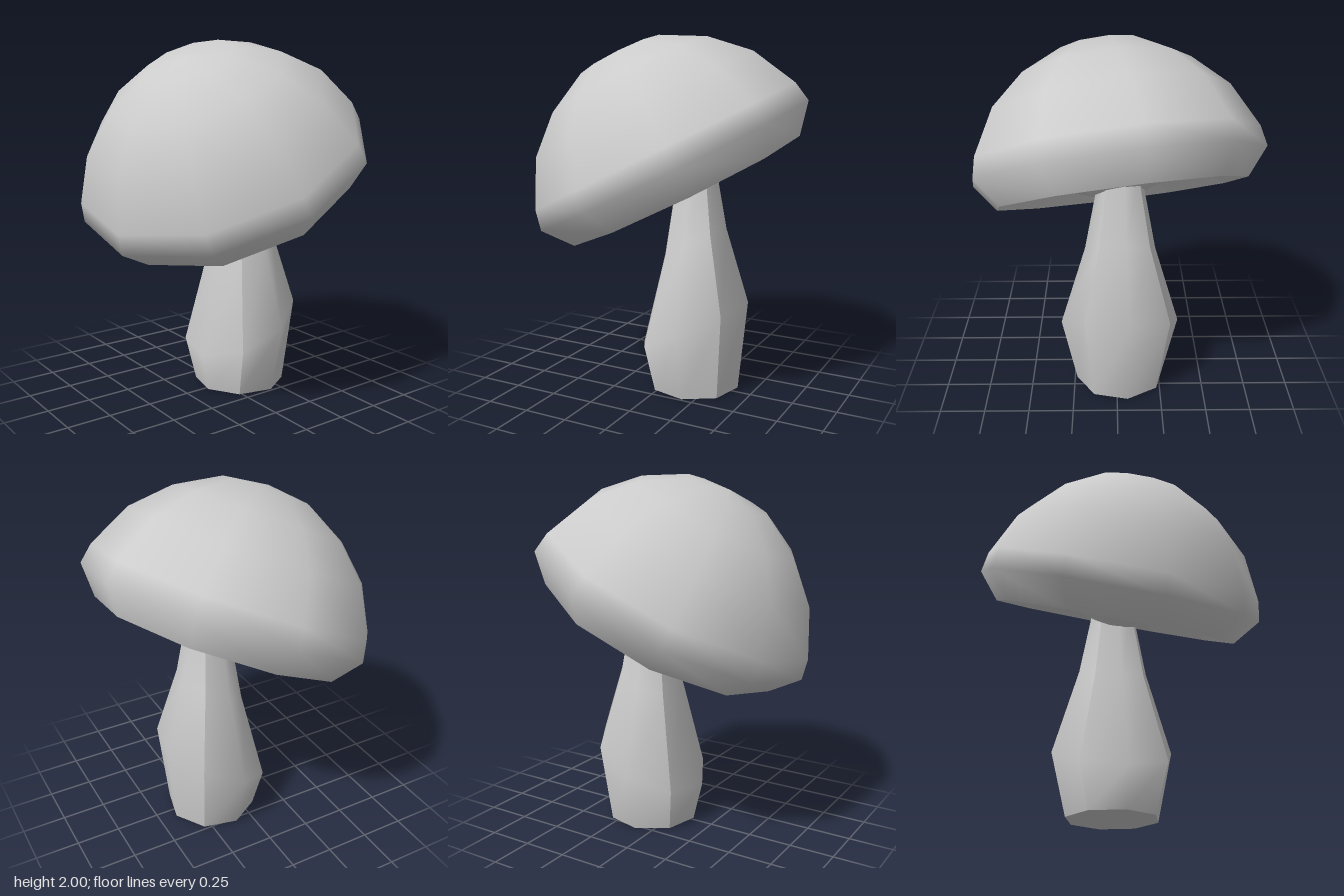
import * as THREE from 'three';

const rad = THREE.MathUtils.degToRad;
const v2 = (pairs) => pairs.map(([r, y]) => new THREE.Vector2(r, y));

function mesh(name, geometry, flat = false) {
  const material = new THREE.MeshStandardMaterial({ color: 0xcccccc, flatShading: flat });
  const m = new THREE.Mesh(geometry, material);
  m.name = name;
  return m;
}

// Stem cross-sections from the ground up: height, radius, tilt towards the front
const STEM_RINGS = [
  { y: 0, r: 0.26, tilt: 0 },
  { y: 0.37, r: 0.345, tilt: 26 },
  { y: 0.85, r: 0.2, tilt: 26 },
  { y: 1.3, r: 0.115, tilt: 26 },
];
const STEM_TURN = 9; // degrees, first corner of the octagon

// One smooth strip covering two sides of the octagonal stem
function stemPanel(startAngle) {
  const positions = [];
  const index = [];
  STEM_RINGS.forEach(({ y, r, tilt }, row) => {
    for (let col = 0; col < 3; col++) {
      const a = rad(startAngle + col * 45);
      const p = new THREE.Vector3(r * Math.sin(a), 0, r * Math.cos(a));
      p.applyAxisAngle(new THREE.Vector3(1, 0, 0), rad(tilt));
      positions.push(p.x, p.y + y, p.z);
      if (row > 0 && col > 0) {
        const c = row * 3 + col;
        const d = c - 1;
        const b = c - 3;
        const e = c - 4;
        index.push(e, b, c, e, c, d);
      }
    }
  });
  const g = new THREE.BufferGeometry();
  g.setAttribute('position', new THREE.Float32BufferAttribute(positions, 3));
  g.setIndex(index);
  g.computeVertexNormals();
  return g;
}

export function createModel() {
  const model = new THREE.Group();
  model.name = 'mushroom';

  // Stem: four creased strips and a flat foot
  const stem = new THREE.Group();
  stem.name = 'stem';
  stem.position.set(-0.02, 0, -0.14);
  for (let i = 0; i < 4; i++) {
    stem.add(mesh('stemPanel', stemPanel(STEM_TURN + 45 + i * 90)));
  }
  const foot = new THREE.CircleGeometry(STEM_RINGS[0].r, 8, rad(90 - STEM_TURN), Math.PI * 2);
  foot.rotateX(Math.PI / 2);
  stem.add(mesh('stemFoot', foot));
  model.add(stem);

  // Cap: ten-sided dome leaning forward and slightly sideways
  const cap = new THREE.Group();
  cap.name = 'cap';
  cap.position.set(0, 1.285, -0.01);
  cap.quaternion.setFromUnitVectors(
    new THREE.Vector3(0, 1, 0),
    new THREE.Vector3(0.14, 1, 0.48).normalize(),
  );
  const lathe = (profile) => new THREE.LatheGeometry(v2(profile), 10, rad(11));

  cap.add(mesh('capDome', lathe([
    [0.71, -0.152], [0.833, 0], [0.81, 0.115], [0.68, 0.365],
    [0.49, 0.545], [0.25, 0.675], [0, 0.707],
  ])));
  // Underside: recessed wall and a shallow cone bulging down to the stem
  cap.add(mesh('capUnderside', lathe([
    [0, -0.2], [0.51, -0.03], [0.71, -0.152],
  ]), true));
  model.add(cap);

  return model;
}
